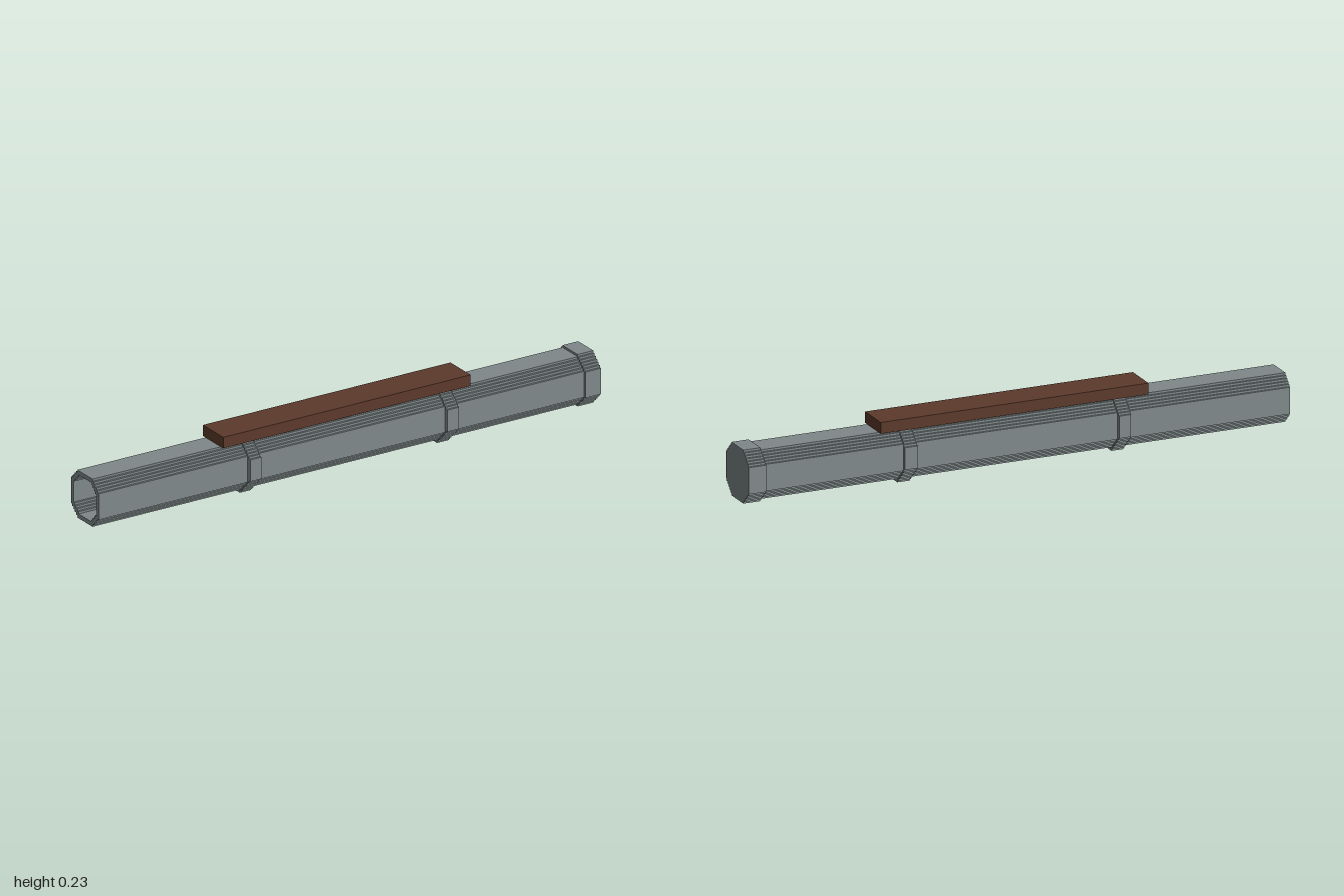
import * as THREE from 'three';

const S = 0.0079;   // size of one stair step
const CY = 0.103;   // height of the tube axis

// Octagon outline with stair-stepped diagonals: half-width a and half-flat f, in steps
function outline(a, f) {
  const quarter = [];
  for (let k = 0; k <= a - f; k++) {
    quarter.push([a - k, f + k]);
    if (k < a - f) quarter.push([a - k - 1, f + k]);
  }
  const pts = [];
  for (let q = 0; q < 4; q++) {
    for (const [x, y] of quarter) {
      const [u, v] = [[x, y], [-y, x], [-x, -y], [y, -x]][q];
      pts.push(new THREE.Vector2(u * S, v * S));
    }
  }
  return pts;
}

// Extrude an outline along x from x0 to x1, with an optional bore
function stepped(name, outer, x0, x1, material, bore) {
  const shape = new THREE.Shape(outline(...outer));
  if (bore) shape.holes.push(new THREE.Path(outline(...bore)));
  const geo = new THREE.ExtrudeGeometry(shape, { depth: x1 - x0, bevelEnabled: false });
  geo.rotateY(Math.PI / 2);
  geo.translate(x0, CY, 0);
  const mesh = new THREE.Mesh(geo, material);
  mesh.name = name;
  return mesh;
}

export function createModel() {
  const metal = new THREE.MeshStandardMaterial({ color: 0x7f888a });
  metal.name = 'grey metal';
  const wood = new THREE.MeshStandardMaterial({ color: 0x5c3a2b });
  wood.name = 'brown wood';

  const model = new THREE.Group();
  model.name = 'steppedTube';

  // Hollow tube, open at one end and closed by a cap at the other
  model.add(stepped('tube', [11, 6], -1, 0.94, metal, [9, 5]));
  model.add(stepped('endCap', [12, 6], 0.937, 1, metal));

  // Two bands that hold the plank
  for (const [name, x0, x1] of [['rightBand', -0.406, -0.362], ['leftBand', 0.381, 0.428]]) {
    model.add(stepped(name, [13, 5], x0, x1, metal, [10, 5]));
  }

  // Wooden plank along the top
  const plank = new THREE.Mesh(new THREE.BoxGeometry(0.988, 0.04, 0.126), wood);
  plank.name = 'plank';
  plank.position.set(0.006, 0.21, 0);
  model.add(plank);

  return model;
}
